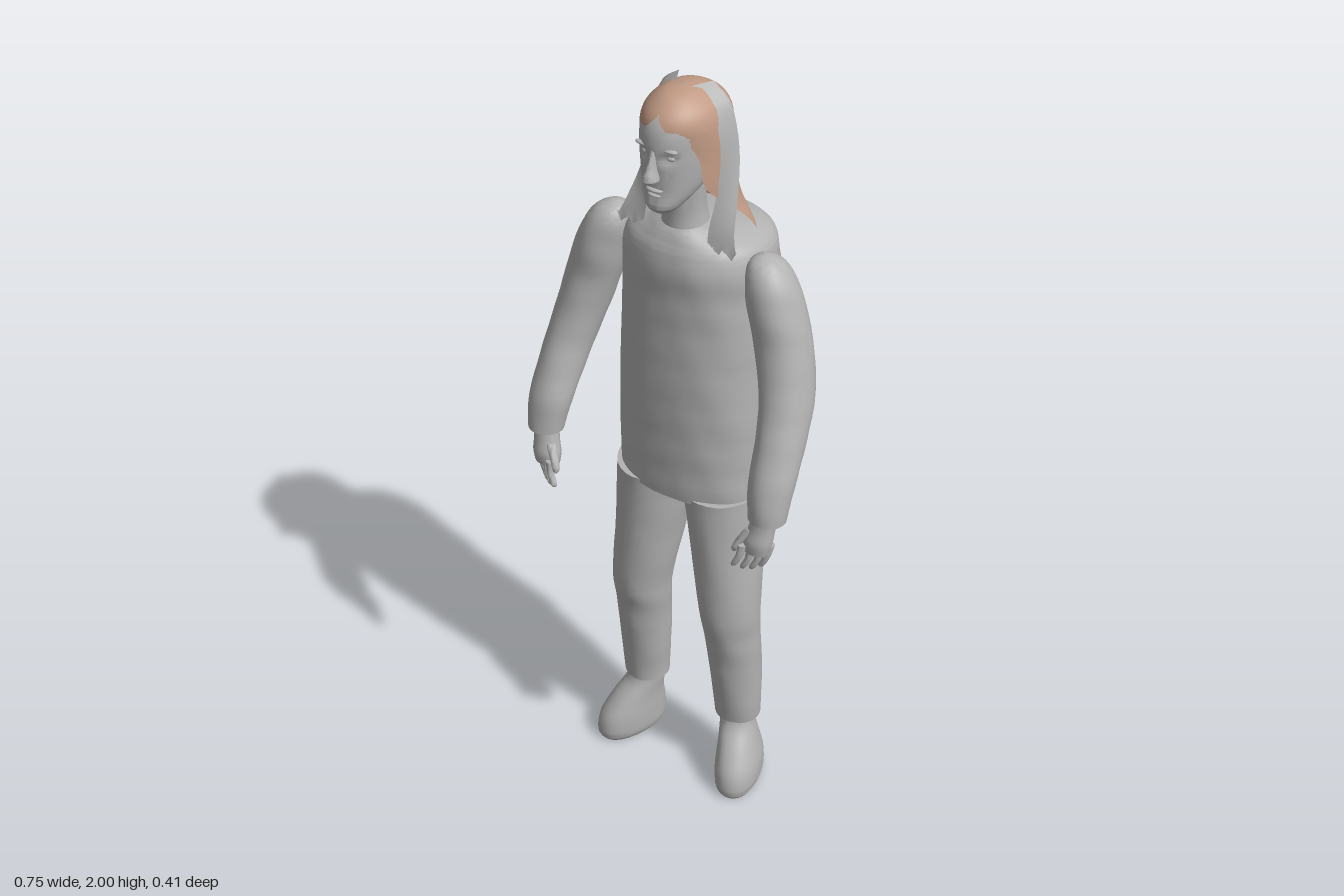
import * as THREE from 'three';
import { toCreasedNormals } from 'three/addons/utils/BufferGeometryUtils.js';

const grey = new THREE.MeshStandardMaterial({ color: 0xb2b2b2 });
grey.name = 'plain grey';
const greySheet = new THREE.MeshStandardMaterial({ color: 0xb2b2b2, side: THREE.DoubleSide });
greySheet.name = 'plain grey sheet';
const brown = new THREE.MeshStandardMaterial({ color: 0xc09a84, side: THREE.DoubleSide });
brown.name = 'light brown hair';

// Catmull-Rom interpolation of whole rows, for smooth profiles
function refine(rows, steps) {
  const out = [];
  const last = rows.length - 1;
  for (let i = 0; i < last; i++) {
    const a = rows[Math.max(i - 1, 0)], b = rows[i], c = rows[i + 1], d = rows[Math.min(i + 2, last)];
    for (let s = 0; s < steps; s++) {
      const t = s / steps;
      out.push(b.map((v, k) => v + 0.5 * t * (c[k] - a[k]
        + t * (2 * a[k] - 5 * v + 4 * c[k] - d[k] + t * (3 * (v - c[k]) + d[k] - a[k])))));
    }
  }
  out.push(rows[last]);
  return out;
}

function makeGeometry(positions, index) {
  const g = new THREE.BufferGeometry();
  g.setAttribute('position', new THREE.Float32BufferAttribute(positions, 3));
  g.setIndex(index);
  return g;
}

function addMesh(parent, name, geometry, material) {
  const m = new THREE.Mesh(geometry, material);
  m.name = name;
  parent.add(m);
  return m;
}

// Closed solid through oval rings [x, y, z, radiusX, radiusZ], bottom to top
function loft(rows, { segs = 28, steps = 4, power = 2, yaw = 0, warp = null } = {}) {
  const rings = refine(rows, steps);
  const pos = [], idx = [];
  const v = new THREE.Vector3();
  const bend = (c) => Math.sign(c) * Math.abs(c) ** (2 / power);
  for (const [x, y, z, rx, rz] of rings) {
    for (let j = 0; j < segs; j++) {
      const a = (j / segs) * Math.PI * 2;
      const dx = rx * bend(Math.cos(a)), dz = rz * bend(Math.sin(a));
      v.set(x + dx * Math.cos(yaw) + dz * Math.sin(yaw), y, z + dz * Math.cos(yaw) - dx * Math.sin(yaw));
      if (warp) warp(v, a);
      pos.push(v.x, v.y, v.z);
    }
  }
  const n = rings.length;
  for (let i = 0; i < n - 1; i++) for (let j = 0; j < segs; j++) {
    const a = i * segs + j, b = i * segs + (j + 1) % segs;
    idx.push(a, a + segs, b, a + segs, b + segs, b);
  }
  const [f, l] = [rings[0], rings[n - 1]];
  pos.push(f[0], f[1], f[2], l[0], l[1], l[2]);
  const c = n * segs, top = (n - 1) * segs;
  for (let j = 0; j < segs; j++) {
    const k = (j + 1) % segs;
    idx.push(c, j, k, c + 1, top + k, top + j);
  }
  return toCreasedNormals(makeGeometry(pos, idx), 1.0);
}

// Open sheet from a grid of points
function sheet(nu, nv, point) {
  const pos = [], idx = [];
  for (let i = 0; i <= nu; i++) for (let j = 0; j <= nv; j++) pos.push(...point(i, j / nv));
  for (let i = 0; i < nu; i++) for (let j = 0; j < nv; j++) {
    const a = i * (nv + 1) + j, b = a + nv + 1;
    idx.push(a, b, a + 1, b, b + 1, a + 1);
  }
  const g = makeGeometry(pos, idx);
  g.computeVertexNormals();
  return g;
}

// Slight lumps in the cloth
function cloth(v) {
  const r = 0.0018 * Math.sin(v.y * 46 + v.x * 31) * Math.sin(v.x * 43 - v.y * 17 + v.z * 29);
  v.x += r;
  v.z += r;
}

function buildHead(group) {
  const head = new THREE.Group();
  head.name = 'head';
  group.add(head);
  addMesh(head, 'neck', loft([[0, 1.6, 0, 0.07, 0.07], [0, 1.65, 0.01, 0.056, 0.058],
    [0, 1.7, 0.015, 0.05, 0.053], [0, 1.78, 0.025, 0.052, 0.055]]), grey);
  // Face with sunken eye sockets
  const sockets = (v) => {
    if (v.z < 0.05) return;
    const d = (Math.abs(v.x) - 0.032) ** 2 + ((v.y - 1.868) * 1.3) ** 2;
    v.z -= 0.012 * Math.exp(-d / 0.00025);
  };
  addMesh(head, 'face', loft([[0, 1.725, 0.095, 0.025, 0.03], [0, 1.742, 0.085, 0.043, 0.053],
    [0, 1.78, 0.05, 0.066, 0.083], [0, 1.83, 0.03, 0.077, 0.105], [0, 1.88, 0.025, 0.08, 0.113],
    [0, 1.93, 0.023, 0.08, 0.107], [0, 1.965, 0.022, 0.063, 0.083], [0, 1.985, 0.02, 0.035, 0.05]],
  { segs: 48, steps: 6, power: 2.1, warp: sockets }), grey);
  addMesh(head, 'nose', loft([[0, 1.808, 0.132, 0.01, 0.008], [0, 1.815, 0.14, 0.018, 0.022],
    [0, 1.825, 0.142, 0.016, 0.026], [0, 1.85, 0.135, 0.01, 0.02], [0, 1.885, 0.128, 0.007, 0.012]],
  { segs: 16 }), grey);
  const blob = (name, x, y, z, sx, sy, sz) => {
    const m = addMesh(head, name, new THREE.SphereGeometry(1, 16, 10), grey);
    m.position.set(x, y, z);
    m.scale.set(sx, sy, sz);
  };
  for (const s of [1, -1]) {
    blob('eye', s * 0.032, 1.867, 0.11, 0.014, 0.008, 0.012);
    blob('brow', s * 0.034, 1.89, 0.122, 0.022, 0.005, 0.01);
  }
  blob('upperLip', 0, 1.787, 0.128, 0.023, 0.005, 0.013);
  blob('lowerLip', 0, 1.774, 0.127, 0.019, 0.005, 0.013);
}

function buildHair(group) {
  // Cap and long back: [y, radiusX, radiusZ, centreZ, half sweep in degrees]
  const rows = refine([[2.0, 0.004, 0.006, 0.02, 180], [1.992, 0.04, 0.055, 0.02, 180],
    [1.965, 0.074, 0.098, 0.015, 180], [1.935, 0.089, 0.119, 0.01, 164], [1.9, 0.095, 0.121, 0.004, 138],
    [1.85, 0.098, 0.118, 0, 126], [1.78, 0.1, 0.122, 0, 118], [1.71, 0.106, 0.11, -0.02, 92],
    [1.66, 0.122, 0.08, -0.055, 84], [1.62, 0.138, 0.07, -0.068, 74]], 4);
  addMesh(group, 'hair', sheet(rows.length - 1, 40, (i, t) => {
    const [y, rx, rz, zc, sweep] = rows[i];
    const a = (2 * t - 1) * sweep * Math.PI / 180;
    const ragged = i === rows.length - 1 ? 0.012 * Math.sin(t * 31) : 0;
    return [rx * Math.sin(a), y + ragged, zc - rz * Math.cos(a)];
  }), brown);
  // Loose front locks: [inner x, outer x, y, inner z, outer z]
  const lock = refine([[0.02, 0.045, 1.998, 0.02, -0.03], [0.07, 0.088, 1.965, 0.02, -0.03],
    [0.094, 0.108, 1.91, 0.02, -0.03], [0.1, 0.121, 1.83, 0.02, -0.025], [0.094, 0.133, 1.74, 0.03, 0],
    [0.086, 0.148, 1.67, 0.045, 0.035], [0.09, 0.165, 1.625, 0.055, 0.05]], 3);
  for (const s of [1, -1]) {
    addMesh(group, 'frontLock', sheet(lock.length - 1, 6, (i, t) => {
      const [xi, xo, y, zi, zo] = lock[i];
      const tip = i === lock.length - 1 ? 0.014 * Math.sin(t * 14) : 0;
      return [s * (xi + (xo - xi) * t), y + tip, zi + (zo - zi) * t];
    }), greySheet);
    // Hair tips showing through the back of the shirt
    addMesh(group, 'backLock', loft([[s * 0.14, 1.3, -0.148, 0.002, 0.002], [s * 0.139, 1.38, -0.155, 0.01, 0.012],
      [s * 0.137, 1.48, -0.161, 0.016, 0.014], [s * 0.13, 1.57, -0.164, 0.004, 0.004]], { segs: 10 }), brown);
  }
}

function buildSide(group, s) {
  const side = s > 0 ? 'left' : 'right';
  const part = (name, rows, options) =>
    addMesh(group, side + name, loft(rows.map(([x, ...r]) => [s * x, ...r]), options), grey);
  part('Sleeve', [[0.323, 1.02, 0.145, 0.046, 0.043], [0.32, 1.1, 0.125, 0.055, 0.054],
    [0.312, 1.2, 0.075, 0.058, 0.066], [0.297, 1.3, 0.03, 0.062, 0.074], [0.267, 1.42, 0.007, 0.068, 0.07],
    [0.239, 1.52, 0.002, 0.066, 0.069], [0.222, 1.58, 0, 0.054, 0.057], [0.212, 1.612, 0, 0.036, 0.038],
    [0.207, 1.626, 0, 0.01, 0.01]], { warp: cloth });
  // Hand hanging below the cuff
  const hand = { segs: 12, steps: 3 };
  part('Palm', [[0.308, 0.93, 0.165, 0.034, 0.024], [0.31, 0.96, 0.162, 0.038, 0.029],
    [0.315, 0.99, 0.155, 0.034, 0.028], [0.322, 1.035, 0.145, 0.032, 0.03]], hand);
  for (let i = 0; i < 4; i++) {
    const x = 0.337 - i * 0.018, z = 0.15 + i * 0.012, y = 0.873 + Math.abs(i - 1.4) * 0.008;
    part('Finger', [[x - 0.019, y, z + 0.01, 0.003, 0.003], [x - 0.016, y + 0.007, z + 0.01, 0.008, 0.008],
      [x - 0.004, y + 0.035, z + 0.006, 0.009, 0.009], [x, 0.95, z, 0.011, 0.011]], hand);
  }
  part('Thumb', [[0.263, 0.925, 0.19, 0.003, 0.003], [0.264, 0.935, 0.189, 0.009, 0.009],
    [0.275, 0.96, 0.18, 0.011, 0.011], [0.295, 0.99, 0.165, 0.014, 0.014]], hand);
  part('TrouserLeg', [[0.145, 0.195, -0.018, 0.06, 0.058], [0.142, 0.35, -0.01, 0.067, 0.069],
    [0.138, 0.47, 0.002, 0.071, 0.074], [0.134, 0.56, 0.01, 0.077, 0.081],
    [0.114, 0.75, -0.008, 0.088, 0.103], [0.098, 0.93, -0.02, 0.099, 0.121]], { warp: cloth });
  part('Shoe', [[0.175, 0, 0.015, 0.05, 0.096], [0.175, 0.02, 0.016, 0.058, 0.104],
    [0.172, 0.07, 0.013, 0.058, 0.098], [0.161, 0.125, 0.002, 0.05, 0.074],
    [0.147, 0.175, -0.014, 0.044, 0.052], [0.145, 0.22, -0.018, 0.044, 0.046]], { yaw: s * 0.3, power: 2.2 });
}

export function createModel() {
  const group = new THREE.Group();
  group.name = 'standingFigure';
  addMesh(group, 'shirt', loft([[0, 0.918, -0.03, 0.192, 0.135], [0, 1.05, -0.03, 0.192, 0.138],
    [0, 1.25, -0.034, 0.188, 0.143], [0, 1.45, -0.046, 0.184, 0.15], [0, 1.56, -0.05, 0.182, 0.156],
    [0, 1.605, -0.05, 0.168, 0.15], [0, 1.63, -0.036, 0.135, 0.125], [0, 1.647, -0.008, 0.092, 0.09],
    [0, 1.658, 0.006, 0.07, 0.07]], { segs: 48, steps: 6, power: 2.3, warp: cloth }), grey);
  buildHead(group);
  buildHair(group);
  for (const s of [1, -1]) buildSide(group, s);
  return group;
}
